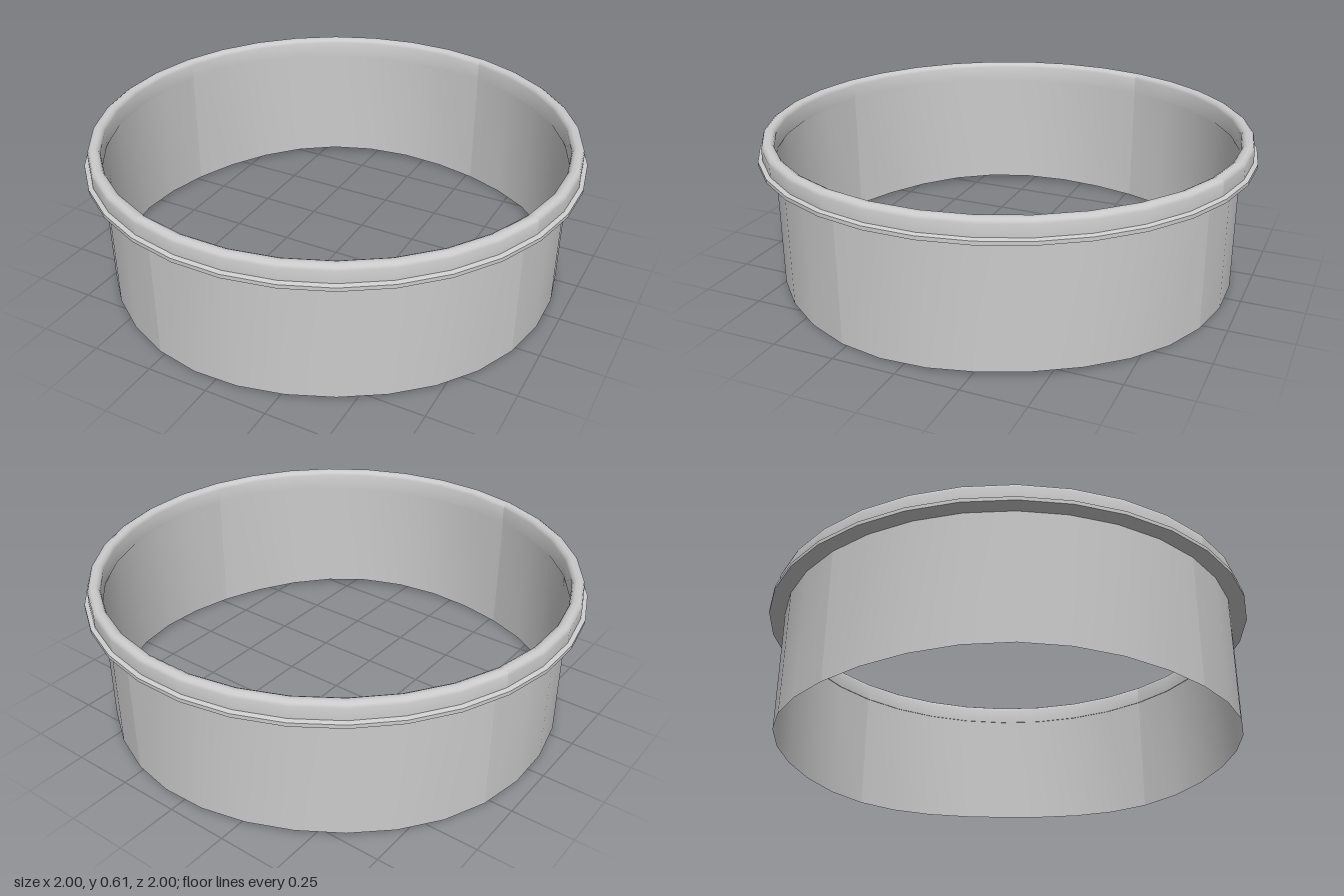
import * as THREE from 'three';
import { toCreasedNormals } from 'three/addons/utils/BufferGeometryUtils.js';

const WALL_RADIUS = 0.94, WALL_TOP = 0.54;
const PANELS = 4, STEPS = 8;                       // 32 facets around the ring
const ARC = (Math.PI * 2) / PANELS;
const START = (-1.5 * Math.PI) / 16;               // first seam

// Rim cross-section (radius, height): flange, upright band, rounded lip, inner face
const RIM = [
  [0.937, 0.528], [1.004, 0.528], [1.004, 0.543], [0.987, 0.548],
  [0.987, 0.595], [0.983, 0.607], [0.972, 0.614], [0.954, 0.614],
  [0.942, 0.607], [0.937, 0.595], [0.937, 0.528],
].map(([r, y]) => new THREE.Vector2(r, y));

// Curved wall panel whose lower edge dips at both seams
function wallPanel(start) {
  const geo = new THREE.CylinderGeometry(WALL_RADIUS, WALL_RADIUS, WALL_TOP, STEPS, 1, true, start, ARC);
  geo.translate(0, WALL_TOP / 2, 0);
  const pos = geo.attributes.position;
  for (let i = 0; i < pos.count; i++) {
    if (pos.getY(i) > 0.1) continue;
    const angle = Math.atan2(pos.getX(i), pos.getZ(i)) - START;
    pos.setY(i, 0.01 - 0.01 * Math.cos(PANELS * angle));
  }
  geo.computeVertexNormals();
  return geo;
}

export function createModel() {
  const group = new THREE.Group();
  group.name = 'ringCollar';
  const material = new THREE.MeshStandardMaterial({ color: 0xcccccc, side: THREE.DoubleSide });

  const add = (name, geometry) => {
    const mesh = new THREE.Mesh(geometry, material);
    mesh.name = name;
    group.add(mesh);
  };

  // Four wall panels with a rim section above each
  for (let i = 0; i < PANELS; i++) {
    const start = START + i * ARC;
    add(`wallPanel${i + 1}`, wallPanel(start));
    add(`rimSection${i + 1}`, toCreasedNormals(new THREE.LatheGeometry(RIM, STEPS, start, ARC), 0.9));
  }
  return group;
}
